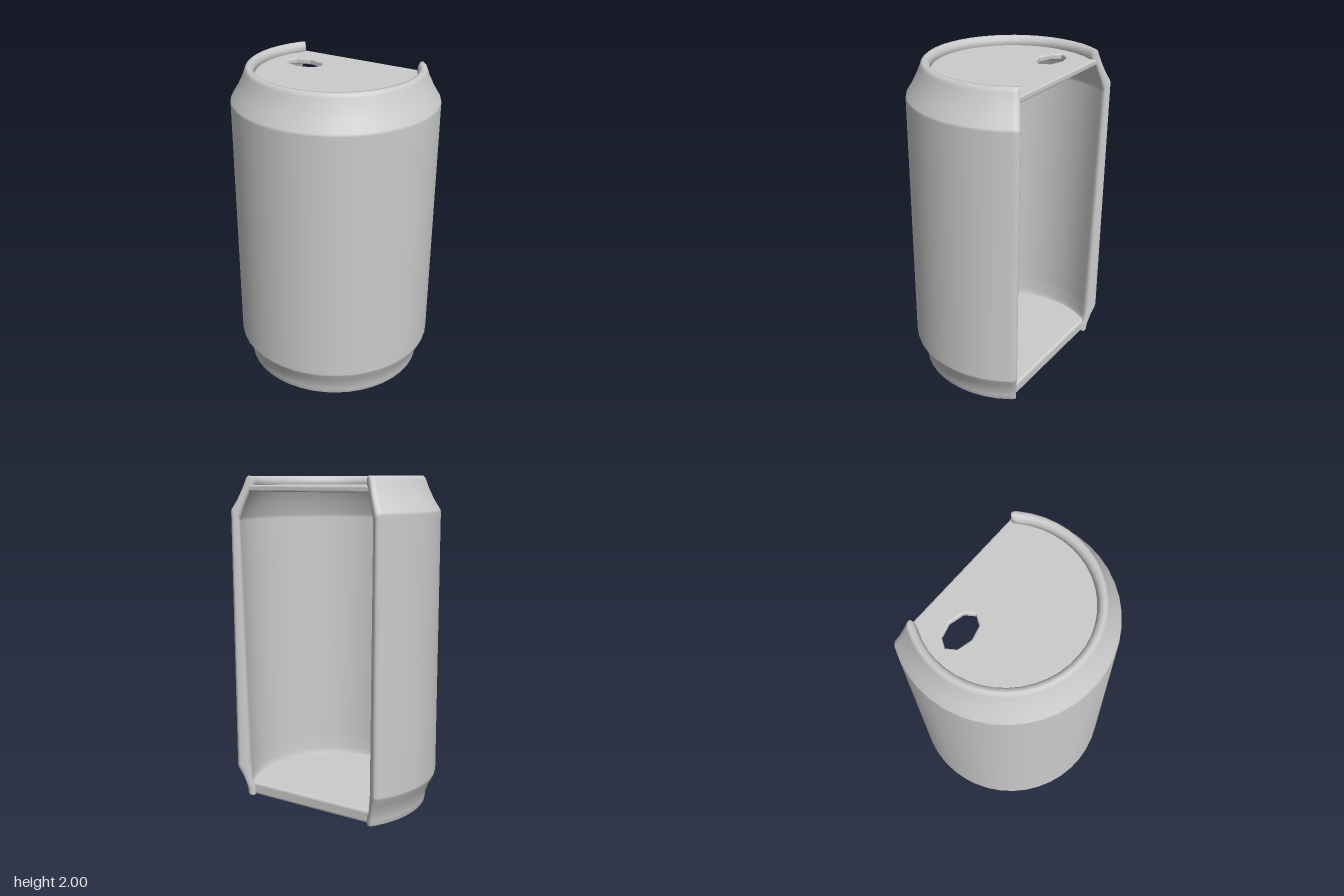
import * as THREE from 'three';
import { toCreasedNormals } from 'three/addons/utils/BufferGeometryUtils.js';
import { RoundedBoxGeometry } from 'three/addons/geometries/RoundedBoxGeometry.js';

const CZ = -0.13;                 // z of the can's axis
const STEP = Math.PI / 22;        // angle of one wall facet
const material = new THREE.MeshStandardMaterial({ color: 0xcccccc });

// Wall section: outer radius, outer y, inner radius, inner y
// (the inside tapers gently, so the wall is thicker towards the base)
const section = [
  [0.553, 0, 0.517, 0],
  [0.564, 0.01, 0.505, 0.012],
  [0.566, 0.04, 0.505, 0.06],
  [0.575, 0.08, 0.53, 0.075],
  [0.597, 0.135, 0.535, 0.13],
  [0.624, 0.185, 0.538, 0.19],
  [0.627, 0.2, 0.539, 0.21],
  [0.627, 1.79, 0.572, 1.73],
  [0.624, 1.805, 0.57, 1.75],
  [0.588, 1.862, 0.542, 1.83],
  [0.555, 1.93, 0.508, 1.91],
  [0.538, 1.975, 0.48, 1.943],
  [0.532, 1.99, 0.484, 1.975],
  [0.52, 2, 0.498, 1.998],
];

// Closed loop of the section, its thickness scaled about the middle line
function sectionLoop(scale) {
  const outer = [], inner = [];
  for (const [ro, yo, ri, yi] of section) {
    const mr = (ro + ri) / 2, my = (yo + yi) / 2;
    outer.push([mr + (ro - mr) * scale, my + (yo - my) * scale]);
    inner.push([mr + (ri - mr) * scale, my + (yi - my) * scale]);
  }
  return outer.concat(inner.reverse());
}

// Wall swept around the axis, tapering to a rounded lip at both cut edges
function wallGeometry() {
  const rings = [], steps = 30, lip = 0.07, lipSteps = 6, start = -4 * STEP;
  for (let i = 0; i < lipSteps; i++) {
    const t = (i / lipSteps) * Math.PI / 2;
    rings.push([start - lip * Math.cos(t), Math.max(Math.sqrt(Math.sin(t)), 0.1)]);
  }
  for (let i = 0; i <= steps; i++) rings.push([start + i * STEP, 1]);
  for (let i = lipSteps - 1; i >= 0; i--) rings.push([Math.PI - rings[i][0], rings[i][1]]);

  const pos = [], index = [], n = section.length * 2;
  for (const [a, s] of rings)
    for (const [r, y] of sectionLoop(s)) pos.push(r * Math.cos(a), y, CZ + r * Math.sin(a));
  for (let i = 0; i < rings.length - 1; i++)
    for (let j = 0; j < n; j++) {
      const a = i * n + j, b = i * n + (j + 1) % n, c = a + n, d = b + n;
      index.push(a, b, c, b, d, c);
    }
  // close the thin ends
  const last = (rings.length - 1) * n;
  for (let j = 0; j < n / 2 - 1; j++) {
    const k = n - 1 - j;
    index.push(j, k, j + 1, j + 1, k, k - 1);
    index.push(last + j, last + j + 1, last + k, last + j + 1, last + k - 1, last + k);
  }
  const g = new THREE.BufferGeometry();
  g.setAttribute('position', new THREE.Float32BufferAttribute(pos, 3));
  g.setIndex(index);
  g.computeVertexNormals();
  return g;
}

// Round plate with a straight back edge and softened rims; hole is optional
function plateGeometry(radius, backZ, y0, y1, hole) {
  const pts = [], bevel = 0.01, start = Math.asin((backZ - CZ) / radius);
  for (let i = 0; i <= 30; i++) {
    const a = start + (i / 30) * (Math.PI - 2 * start);
    pts.push(new THREE.Vector2(radius * Math.cos(a), -CZ - radius * Math.sin(a)));
  }
  const shape = new THREE.Shape(pts);
  if (hole) shape.holes.push(new THREE.Path(hole));
  const g = new THREE.ExtrudeGeometry(shape, {
    depth: y1 - y0 - 2 * bevel, bevelEnabled: true, bevelSize: bevel,
    bevelThickness: bevel, bevelOffset: -bevel, bevelSegments: 3,
  });
  g.rotateX(-Math.PI / 2).translate(0, y0 + bevel, 0);
  return toCreasedNormals(g, 0.25);
}

export function createModel() {
  const group = new THREE.Group();
  group.name = 'cutOpenCan';
  const add = (name, geometry) => {
    const mesh = new THREE.Mesh(geometry, material);
    mesh.name = name;
    group.add(mesh);
  };

  add('wall', wallGeometry());

  // Eight-sided drinking hole in the lid
  const hole = [];
  for (let i = 0; i < 8; i++) {
    const a = i * Math.PI / 4;
    hole.push(new THREE.Vector2(-0.272 + 0.123 * Math.cos(a), 0.21 + 0.076 * Math.sin(a)));
  }
  add('lid', plateGeometry(0.52, -0.437, 1.908, 1.945, hole));
  add('floor', plateGeometry(0.54, -0.43, 0.058, 0.086));

  // Straight sill closing the base ring along the opening
  const sill = new RoundedBoxGeometry(0.89, 0.08, 0.038, 4, 0.018);
  add('backSill', sill.translate(0, 0.045, -0.419));
  return group;
}
